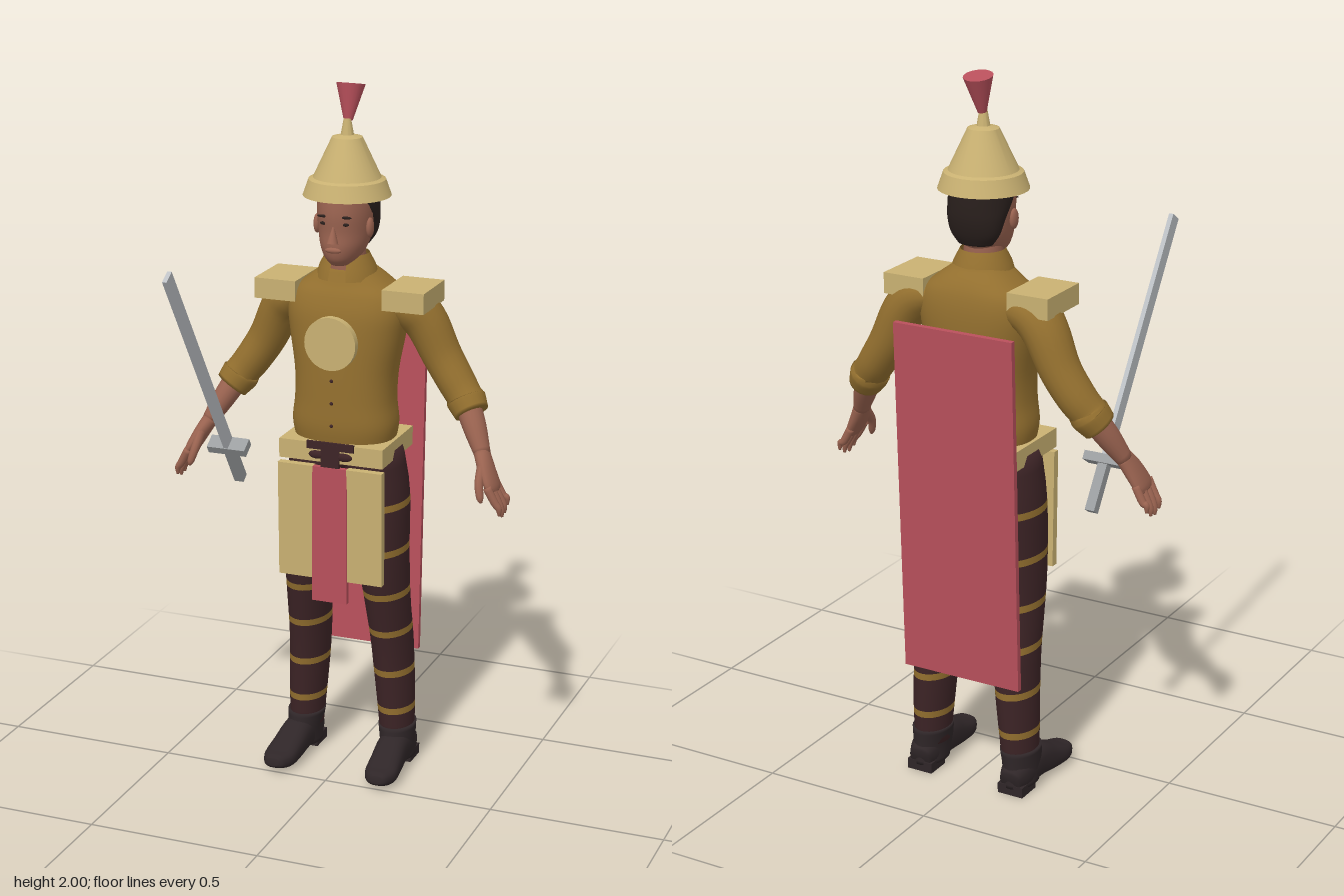
import * as THREE from 'three';
import { toCreasedNormals } from 'three/addons/utils/BufferGeometryUtils.js';

const mat = (name, color, extra = {}) => new THREE.MeshStandardMaterial({ name, color, ...extra });
const M = {
  gold: mat('pale gold', 0xc9b172),
  shirt: mat('ochre cloth', 0x94702f, { side: THREE.DoubleSide }),
  red: mat('red cloth', 0xb8505b),
  trousers: mat('dark maroon', 0x3d2426),
  boots: mat('boot leather', 0x2f2628),
  skin: mat('skin', 0x9a6350),
  hair: mat('hair', 0x2a201d),
  steel: mat('blade steel', 0xbcc0c4),
  hilt: mat('hilt grey', 0x9b9ea0),
};

function add(parent, name, geo, material, pos = [0, 0, 0], rot = [0, 0, 0]) {
  const m = new THREE.Mesh(geo, material);
  m.name = name;
  m.position.set(...pos);
  m.rotation.set(...rot);
  parent.add(m);
  return m;
}
const box = (w, h, d) => new THREE.BoxGeometry(w, h, d);

// smooth resampling of cross-sections; keys must ascend
function sampler(sections, keys) {
  const f = new THREE.CubicInterpolant(keys, sections.flat(), sections[0].length);
  return (t) => Array.from(f.evaluate(t));
}
function refine(sections, steps = 5) {
  const at = sampler(sections, sections.map((_, i) => i));
  return Array.from({ length: (sections.length - 1) * steps + 1 }, (_, i) => at(i / steps));
}
// horizontal cross-section from y, x centre, half width, front z, back z
const level = (y, x, rx, zf, zb) => [x, y, (zf + zb) / 2, rx, (zf - zb) / 2];

// skin over elliptical rings [x, y, z, ra, rb]; hint = width direction for slanted limbs
function loft(rings, { hint = null, power = 2, seg = 28, isBand = null } = {}) {
  const P = rings.map((r) => new THREE.Vector3(r[0], r[1], r[2]));
  const pos = [], idx = [], geo = new THREE.BufferGeometry();
  const n = rings.length;
  const addRing = (i, k) => {
    const t = hint ? P[Math.min(i + 1, n - 1)].clone().sub(P[Math.max(i - 1, 0)]).normalize() : new THREE.Vector3(0, 1, 0);
    const u = (hint || new THREE.Vector3(1, 0, 0)).clone();
    u.addScaledVector(t, -u.dot(t)).normalize();
    const v = t.clone().cross(u);
    const e = 2 / power;
    for (let j = 0; j < seg; j++) {
      const a = (j / seg) * Math.PI * 2, c = Math.cos(a), s = Math.sin(a);
      const q = P[i].clone()
        .addScaledVector(u, k * rings[i][3] * Math.sign(c) * Math.abs(c) ** e)
        .addScaledVector(v, k * rings[i][4] * Math.sign(s) * Math.abs(s) ** e);
      pos.push(q.x, q.y, q.z);
    }
  };
  addRing(0, 0);
  for (let i = 0; i < n; i++) addRing(i, 1);
  addRing(n - 1, 0);
  for (let i = 0; i <= n; i++) {
    const start = idx.length;
    for (let j = 0; j < seg; j++) {
      const a = i * seg + j, b = i * seg + ((j + 1) % seg);
      if (i > 0) idx.push(a, b, b + seg); else idx.push(a, b + seg, a + seg);
      if (i > 0 && i < n) idx.push(a, b + seg, a + seg);
    }
    if (isBand) {
      const mid = i > 0 && i < n ? (rings[i - 1][1] + rings[i][1]) / 2 : -1;
      geo.addGroup(start, idx.length - start, isBand(mid) ? 1 : 0);
    }
  }
  geo.setAttribute('position', new THREE.Float32BufferAttribute(pos, 3));
  geo.setIndex(idx);
  geo.computeVertexNormals();
  return geo;
}
const Z = new THREE.Vector3(0, 0, 1), X = new THREE.Vector3(1, 0, 0);
const limb = (s, sections, opts) => loft(refine(sections.map(([x, ...r]) => [x * s, ...r])), { hint: Z, seg: 18, ...opts });
const ball = (rx, ry, rz) => new THREE.SphereGeometry(1, 16, 12).scale(rx, ry, rz);

function buildHead(g) {
  const head = new THREE.Group();
  head.name = 'head';
  g.add(head);
  add(head, 'neck', new THREE.CylinderGeometry(0.05, 0.058, 0.14, 24), M.skin, [0, 1.5, -0.162]);
  add(head, 'face', loft(refine([
    level(1.508, 0, 0.026, -0.08, -0.14), level(1.528, 0, 0.048, -0.063, -0.2), level(1.56, 0, 0.064, -0.056, -0.232),
    level(1.6, 0, 0.072, -0.058, -0.247), level(1.65, 0, 0.077, -0.055, -0.258), level(1.71, 0, 0.077, -0.062, -0.26)])), M.skin);
  add(head, 'hair', loft(refine([
    level(1.55, 0, 0.05, -0.17, -0.236), level(1.58, 0, 0.07, -0.155, -0.252), level(1.62, 0, 0.08, -0.13, -0.264),
    level(1.66, 0, 0.084, -0.09, -0.268), level(1.71, 0, 0.084, -0.06, -0.268)])), M.hair);
  add(head, 'nose', new THREE.ConeGeometry(0.018, 0.055, 12).scale(0.9, 1, 1), M.skin, [0, 1.603, -0.056], [-0.18, 0, 0]);
  add(head, 'lips', ball(0.024, 0.008, 0.008), M.skin, [0, 1.556, -0.056]);
  for (const s of [-1, 1]) {
    add(head, 'ear', ball(0.01, 0.028, 0.018), M.skin, [0.077 * s, 1.61, -0.135]);
    add(head, 'eye', ball(0.011, 0.005, 0.004), M.hair, [0.031 * s, 1.628, -0.066]);
    add(head, 'eyebrow', ball(0.018, 0.004, 0.004), M.hair, [0.032 * s, 1.648, -0.064]);
  }
  // tall conical helmet with plume
  const profile = [[0, 1.69], [0.122, 1.69], [0.106, 1.735], [0.094, 1.74], [0.042, 1.85], [0.018, 1.856], [0.01, 1.9], [0, 1.9]];
  const helmet = new THREE.LatheGeometry(profile.map((p) => new THREE.Vector2(...p)), 32);
  add(head, 'helmet', toCreasedNormals(helmet, 0.5), M.gold, [0, 0, -0.16]);
  add(head, 'plume', new THREE.CylinderGeometry(0.04, 0.012, 0.1, 20), M.red, [0, 1.942, -0.176], [-0.2, 0, 0]);
}

function buildTorso(g) {
  add(g, 'shirt', loft(refine([
    level(0.99, 0, 0.14, -0.055, -0.262), level(1.05, 0, 0.15, -0.045, -0.268), level(1.12, 0, 0.143, -0.045, -0.27),
    level(1.2, 0, 0.145, -0.046, -0.28), level(1.3, 0, 0.162, -0.05, -0.292), level(1.37, 0, 0.17, -0.057, -0.294),
    level(1.42, 0, 0.155, -0.072, -0.287), level(1.455, 0, 0.115, -0.09, -0.272), level(1.49, 0, 0.068, -0.105, -0.245)]),
  { power: 2.4, seg: 40 }), M.shirt);
  const collar = new THREE.LatheGeometry([[0.088, 1.462], [0.078, 1.495], [0.06, 1.53]].map((p) => new THREE.Vector2(...p)), 30, 0.3, Math.PI * 2 - 0.6);
  add(g, 'collar', collar, M.shirt, [0, 0, -0.166]);
  for (let i = 0; i < 3; i++) add(g, 'button', ball(0.005, 0.005, 0.004), M.trousers, [0, 1.06 + i * 0.065, -0.044]);
  add(g, 'chestDisc', new THREE.CylinderGeometry(0.075, 0.075, 0.022, 32), M.gold, [0, 1.298, -0.042], [Math.PI / 2, 0, 0]);
  add(g, 'belt', box(0.308, 0.055, 0.245), M.gold, [0, 0.982, -0.16]);
  // dark clasp on the belt
  add(g, 'claspBar', box(0.14, 0.022, 0.008), M.trousers, [0, 1.003, -0.036]);
  add(g, 'claspKnot', box(0.055, 0.07, 0.008), M.trousers, [0, 0.973, -0.035]);
  for (const s of [-1, 1]) {
    add(g, 'claspLoop', ball(0.025, 0.012, 0.008), M.trousers, [0.04 * s, 0.975, -0.037]);
    add(g, 'shoulderPlate', box(0.122, 0.058, 0.17), M.gold, [0.188 * s, 1.42, -0.178]);
    add(g, 'skirtPanel', box(0.105, 0.335, 0.022), M.gold, [0.1025 * s, 0.775, -0.043], [0.02, 0, 0]);
  }
  add(g, 'skirtStrip', box(0.104, 0.4, 0.016), M.red, [0, 0.742, -0.037]);
  add(g, 'cape', box(0.36, 1.01, 0.016), M.red, [0, 0.835, -0.304], [-0.036, 0, 0]);
}

function buildArm(g, s) {
  const arm = new THREE.Group();
  arm.name = s > 0 ? 'leftArm' : 'rightArm';
  g.add(arm);
  add(arm, 'sleeve', limb(s, [
    [0.11, 1.395, -0.185, 0.07, 0.045], [0.17, 1.385, -0.198, 0.076, 0.062], [0.215, 1.34, -0.21, 0.069, 0.06],
    [0.26, 1.25, -0.216, 0.06, 0.055], [0.305, 1.18, -0.21, 0.057, 0.052], [0.335, 1.14, -0.2, 0.052, 0.05],
    [0.34, 1.132, -0.198, 0.057, 0.055], [0.362, 1.1, -0.184, 0.05, 0.048]]), M.shirt);
  add(arm, 'forearm', limb(s, [
    [0.345, 1.125, -0.194, 0.038, 0.036], [0.378, 1.065, -0.164, 0.036, 0.032], [0.412, 1.0, -0.134, 0.026, 0.022]]), M.skin);
  add(arm, 'palm', limb(s, [
    [0.408, 1.008, -0.137, 0.026, 0.022], [0.428, 0.97, -0.118, 0.038, 0.021], [0.45, 0.928, -0.104, 0.044, 0.017], [0.458, 0.91, -0.1, 0.036, 0.012]]), M.skin);
  for (let i = 0; i < 4; i++) {
    const z = -0.138 + i * 0.024, drop = [0.02, 0.004, 0, 0.01][i];
    add(arm, 'finger', limb(s, [
      [0.448, 0.93, z, 0.012, 0.012], [0.47, 0.89, z - 0.002, 0.011, 0.011],
      [0.482, 0.862 + drop, z - 0.003, 0.009, 0.009], [0.484, 0.842 + drop, z - 0.004, 0.004, 0.004]], { seg: 10 }), M.skin);
  }
  add(arm, 'thumb', limb(s, [
    [0.422, 0.98, -0.1, 0.015, 0.014], [0.425, 0.94, -0.066, 0.013, 0.012], [0.433, 0.905, -0.052, 0.01, 0.01], [0.437, 0.89, -0.05, 0.004, 0.004]], { seg: 10 }), M.skin);
}

function buildLeg(g, s) {
  const leg = new THREE.Group();
  leg.name = s > 0 ? 'leftLeg' : 'rightLeg';
  g.add(leg);
  // trousers with narrow ochre bands
  const sections = [
    level(0.08, 0.142 * s, 0.047, -0.15, -0.275), level(0.2, 0.137 * s, 0.053, -0.14, -0.285), level(0.3, 0.131 * s, 0.056, -0.13, -0.29),
    level(0.4, 0.126 * s, 0.058, -0.115, -0.289), level(0.5, 0.121 * s, 0.061, -0.094, -0.272), level(0.6, 0.115 * s, 0.066, -0.072, -0.27),
    level(0.7, 0.106 * s, 0.074, -0.06, -0.276), level(0.85, 0.093 * s, 0.085, -0.058, -0.284), level(0.98, 0.078 * s, 0.08, -0.06, -0.275)];
  const at = sampler(sections, sections.map((r) => r[1]));
  const bands = [0.18, 0.3, 0.43, 0.55, 0.685, 0.82];
  const ys = [...bands.flatMap((y) => [y - 0.01, y + 0.01]), ...Array.from({ length: 19 }, (_, i) => 0.08 + i * 0.05)];
  const rings = ys.sort((a, b) => a - b).map(at);
  add(leg, 'trouserLeg', loft(rings, { isBand: (y) => bands.some((b) => Math.abs(y - b) < 0.01) }), [M.trousers, M.shirt]);
  // boot: ankle shaft, foot and heel
  add(leg, 'bootShaft', loft(refine([
    level(0.02, 0.146 * s, 0.046, -0.15, -0.284), level(0.07, 0.145 * s, 0.048, -0.135, -0.282), level(0.125, 0.142 * s, 0.053, -0.14, -0.284)])), M.boots);
  add(leg, 'bootFoot', loft(refine([
    [0.146 * s, 0.04, -0.282, 0.03, 0.03], [0.147 * s, 0.052, -0.24, 0.044, 0.045], [0.149 * s, 0.058, -0.16, 0.045, 0.05],
    [0.153 * s, 0.042, -0.09, 0.047, 0.039], [0.157 * s, 0.032, -0.035, 0.047, 0.028], [0.159 * s, 0.033, 0, 0.033, 0.02], [0.159 * s, 0.035, 0.012, 0.016, 0.011]]),
  { hint: X, power: 2.6, seg: 24 }), M.boots);
  add(leg, 'bootHeel', box(0.078, 0.03, 0.075), M.boots, [0.147 * s, 0.015, -0.244]);
}

function buildSword(g) {
  const sword = new THREE.Group();
  sword.name = 'sword';
  sword.position.set(-0.321, 0.957, -0.067);
  sword.rotation.x = 0.583;
  g.add(sword);
  add(sword, 'blade', box(0.013, 0.7, 0.04), M.steel, [0, 0.35, 0]);
  add(sword, 'guard', box(0.115, 0.025, 0.045), M.hilt);
  add(sword, 'grip', box(0.028, 0.14, 0.028), M.hilt, [0, -0.075, 0]);
}

export function createModel() {
  const g = new THREE.Group();
  g.name = 'guardsman';
  buildHead(g);
  buildTorso(g);
  for (const s of [-1, 1]) {
    buildArm(g, s);
    buildLeg(g, s);
  }
  buildSword(g);
  return g;
}
